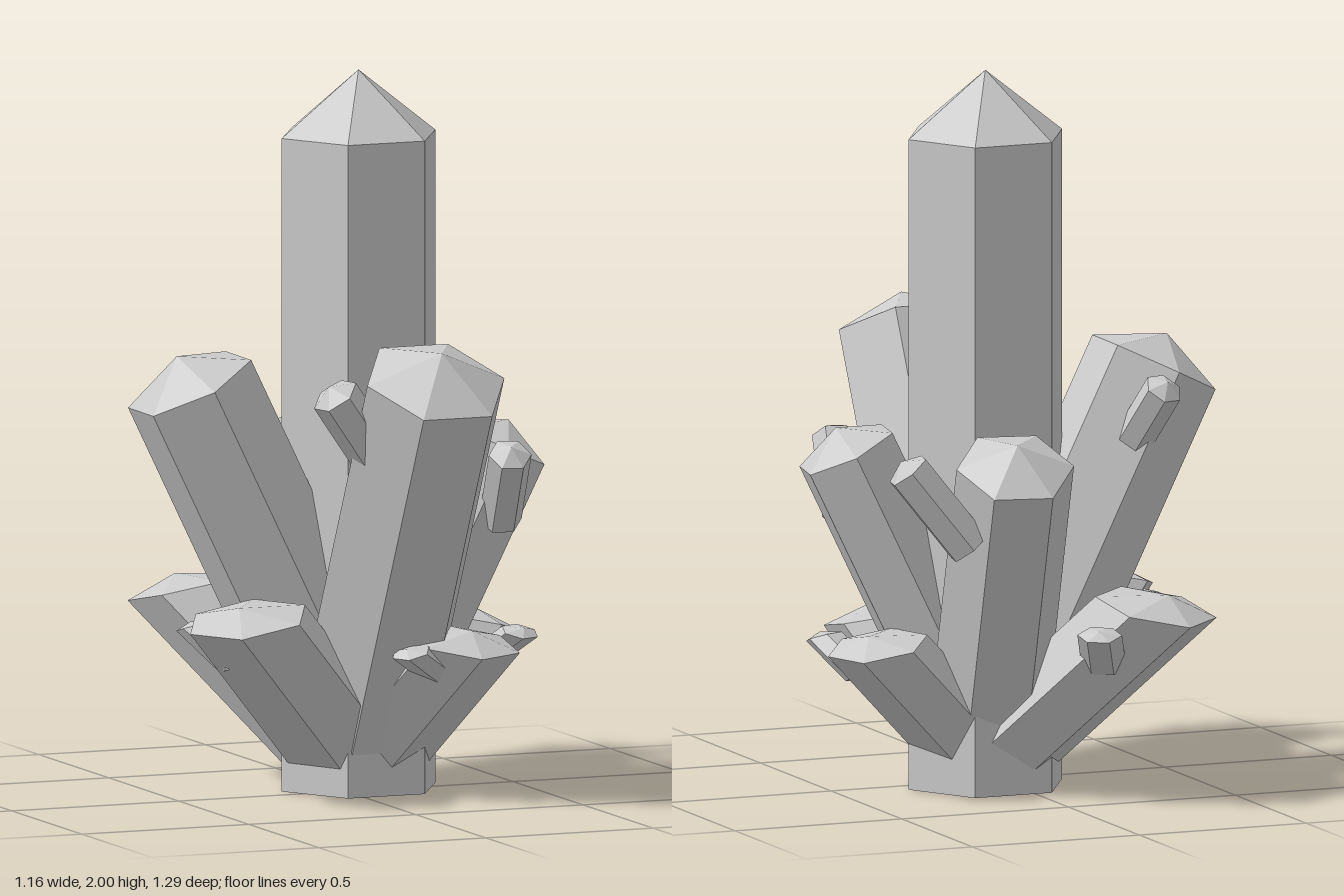
import * as THREE from 'three';

const CX = 0.065, CZ = -0.065;   // axis of the main column
const SQUASH = 0.47;             // low crystals are flattened vertically

const material = new THREE.MeshStandardMaterial({ color: 0xcccccc, flatShading: true });

// Six-sided prism with a pointed cap, from the base centre to the shoulder centre.
// Built in a space stretched by 1 / squash, then flattened, so the caps shear with it.
function crystal(name, base, shoulder, radius, capHeight, squash = 1) {
  const from = new THREE.Vector3(base[0], base[1] / squash, base[2]);
  const to = new THREE.Vector3(shoulder[0], shoulder[1] / squash, shoulder[2]);
  const axis = to.clone().sub(from);
  const length = axis.length();
  axis.normalize();

  const profile = [[0, 0], [radius, 0], [radius, length], [0, length + capHeight]]
    .map(([x, y]) => new THREE.Vector2(x, y));
  let geometry = new THREE.LatheGeometry(profile, 6);
  geometry.rotateY(Math.PI / 6);

  // Two corners lie level, square to the lean
  const side = new THREE.Vector3(axis.z, 0, -axis.x);
  if (side.lengthSq() < 1e-6) side.set(1, 0, 0);
  side.normalize();
  const third = new THREE.Vector3().crossVectors(side, axis);
  geometry.applyMatrix4(new THREE.Matrix4().makeBasis(side, axis, third).setPosition(from));
  geometry.scale(1, squash, 1);

  geometry = geometry.toNonIndexed();
  geometry.computeVertexNormals();
  const mesh = new THREE.Mesh(geometry, material);
  mesh.name = name;
  return mesh;
}

export function createModel() {
  const model = new THREE.Group();
  model.name = 'crystalCluster';

  // Main column
  model.add(crystal('mainCrystal', [CX, 0, CZ], [CX, 1.82, CZ], 0.23, 0.18));

  // Tall leaning crystals: name, shoulder centre, radius
  const tall = [
    ['frontCrystal', [0.065, 1.2, 0.487], 0.205],
    ['rightCrystal', [-0.437, 1.15, -0.073], 0.187],
    ['backCrystal', [0.16, 0.96, -0.5], 0.165],
    ['leftCrystal', [0.45, 0.95, 0.012], 0.148],
  ];
  for (const [name, top, r] of tall) {
    model.add(crystal(name, [CX, 0.12, CZ], top, r, r * 0.47));
  }

  // Low flattened crystals between them
  const low = [
    ['lowBackRightCrystal', [-0.29, 0.53, -0.433], 0.185],
    ['lowFrontRightCrystal', [-0.369, 0.522, 0.179], 0.182],
    ['lowFrontLeftCrystal', [0.245, 0.435, 0.248], 0.17],
    ['lowBackLeftCrystal', [0.44, 0.432, -0.188], 0.15],
  ];
  for (const [name, top, r] of low) {
    model.add(crystal(name, [CX, 0.06, CZ], top, r, r * 0.47, SQUASH));
  }

  // Small shoots, one on each leaning crystal: name, base, shoulder, radius, squash
  const shoots = [
    ['frontShoot', [-0.04, 0.95, 0.36], [-0.2, 1.165, 0.4], 0.068, 1],
    ['rightShoot', [-0.32, 0.95, -0.19], [-0.36, 1.12, -0.325], 0.055, 1],
    ['backShoot', [0.28, 0.74, -0.46], [0.45, 0.96, -0.425], 0.065, 1],
    ['leftShoot', [0.42, 0.75, 0.1], [0.385, 0.95, 0.255], 0.06, 1],
    ['lowBackRightShoot', [-0.14, 0.37, -0.42], [-0.07, 0.485, -0.555], 0.062, SQUASH],
    ['lowFrontRightShoot', [-0.37, 0.38, 0.12], [-0.45, 0.485, 0.0], 0.06, SQUASH],
    ['lowFrontLeftShoot', [0.2, 0.33, 0.25], [0.06, 0.425, 0.32], 0.06, SQUASH],
    ['lowBackLeftShoot', [0.44, 0.33, -0.09], [0.5, 0.425, 0.05], 0.058, SQUASH],
  ];
  for (const [name, base, top, r, squash] of shoots) {
    model.add(crystal(name, base, top, r, r * 0.5, squash));
  }

  return model;
}
